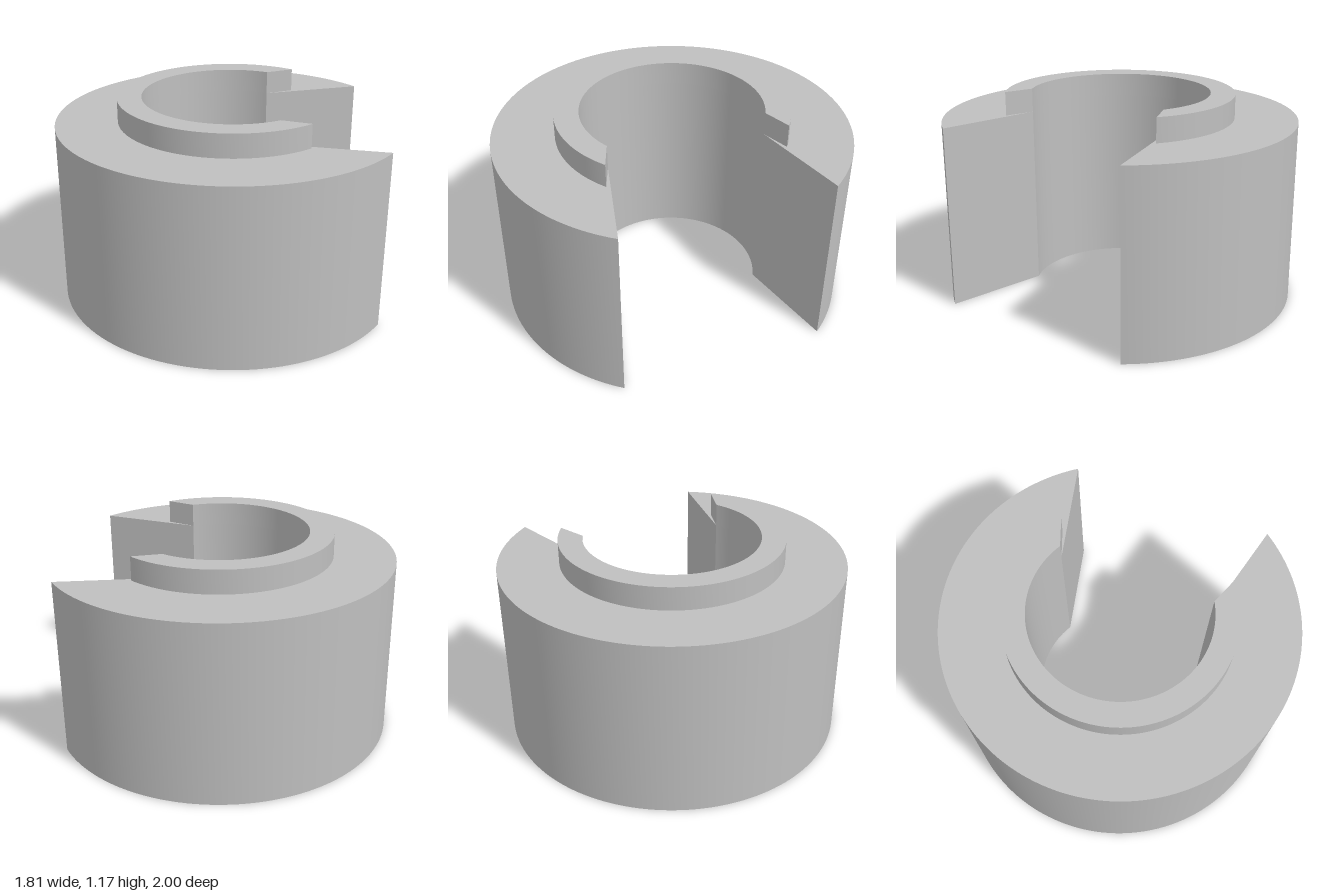
import * as THREE from 'three';
import { toCreasedNormals } from 'three/addons/utils/BufferGeometryUtils.js';

const CENTER_X = 0.095; // axis of the rings
const BORE = 0.51; // inner radius shared by both rings
const BORE_ANGLE = THREE.MathUtils.degToRad(62); // half opening at the bore

// Open C-shaped ring whose gap faces +x, with slanted end faces
function openRing(name, radius, halfGapDegrees, bottom, top, material) {
  const gap = THREE.MathUtils.degToRad(halfGapDegrees);
  const shape = new THREE.Shape();
  shape.absarc(0, 0, radius, gap, Math.PI * 2 - gap, false);
  shape.absarc(0, 0, BORE, Math.PI * 2 - BORE_ANGLE, BORE_ANGLE, true);
  shape.closePath();

  const extruded = new THREE.ExtrudeGeometry(shape, {
    depth: top - bottom,
    bevelEnabled: false,
    curveSegments: 64,
  });
  extruded.rotateX(-Math.PI / 2);
  const mesh = new THREE.Mesh(toCreasedNormals(extruded, Math.PI / 7), material);
  mesh.name = name;
  mesh.position.set(CENTER_X, bottom, 0);
  return mesh;
}

export function createModel() {
  const grey = new THREE.MeshStandardMaterial({ color: 0xbfbfbf });
  grey.name = 'light grey';

  const model = new THREE.Group();
  model.name = 'slotted collar';
  model.add(
    openRing('body', 1, 35.8, 0, 1.035, grey), // thick lower ring
    openRing('rim', 0.648, 52, 1.035, 1.17, grey), // narrow raised ring
  );
  return model;
}
